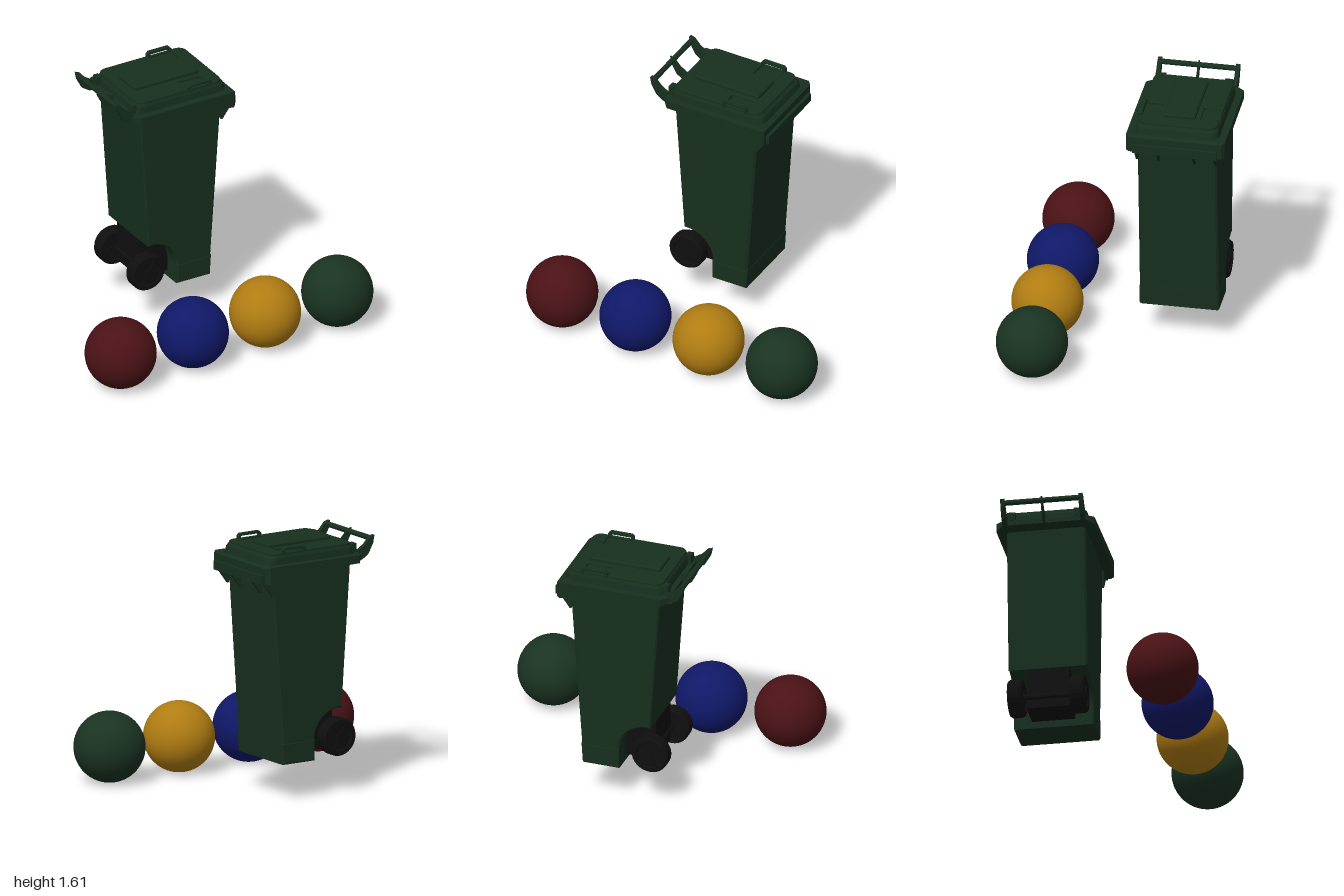
import * as THREE from 'three';

const mat = (color, flat = false) =>
  new THREE.MeshStandardMaterial({ color, flatShading: flat, side: THREE.DoubleSide });
const green = mat(0x172f1f, true);
const black = mat(0x0f0f0f, true);
const ZC = -0.367; // middle of the bin in z

function add(parent, name, geometry, material, x = 0, y = 0, z = 0) {
  const m = new THREE.Mesh(geometry, material);
  m.name = name;
  m.position.set(x, y, z);
  parent.add(m);
  return m;
}

// Outline in x/y, extruded along z and centred on z = 0
function plate(shape, width, bevel = 0) {
  const g = new THREE.ExtrudeGeometry(shape, {
    depth: width - 2 * bevel, bevelEnabled: bevel > 0, bevelSize: bevel, bevelOffset: -bevel,
    bevelThickness: bevel, bevelSegments: 1, curveSegments: 20,
  });
  return g.translate(0, 0, -(width - 2 * bevel) / 2);
}
const outline = (pts) => new THREE.Shape(pts.map(([x, y]) => new THREE.Vector2(x, y)));

// Skin through rings of equal point count, closed at both ends
function loft(rings) {
  const pos = [];
  const tri = (a, b, c) => pos.push(...a, ...b, ...c);
  const n = rings[0].length;
  for (let r = 0; r < rings.length - 1; r++) {
    for (let i = 0; i < n; i++) {
      const j = (i + 1) % n, p = rings[r], q = rings[r + 1];
      tri(p[i], p[j], q[j]);
      tri(p[i], q[j], q[i]);
    }
  }
  const last = rings[rings.length - 1];
  for (let i = 1; i < n - 1; i++) {
    tri(rings[0][0], rings[0][i + 1], rings[0][i]);
    tri(last[0], last[i], last[i + 1]);
  }
  const g = new THREE.BufferGeometry();
  g.setAttribute('position', new THREE.Float32BufferAttribute(pos, 3));
  g.computeVertexNormals();
  return g;
}

function roundedRect(Type, x0, x1, z0, z1, r) {
  const s = new Type();
  s.absarc(x1 - r, z1 - r, r, 0, Math.PI / 2);
  s.absarc(x0 + r, z1 - r, r, Math.PI / 2, Math.PI);
  s.absarc(x0 + r, z0 + r, r, Math.PI, Math.PI * 1.5);
  s.absarc(x1 - r, z0 + r, r, Math.PI * 1.5, Math.PI * 2);
  s.closePath();
  return s;
}

// Flat slab lying in x/z with its base at y = 0
function slab(shape, height, bevel) {
  const g = new THREE.ExtrudeGeometry(shape, {
    depth: height - bevel, bevelEnabled: true, bevelSize: bevel, bevelOffset: -bevel,
    bevelThickness: bevel, bevelSegments: 1, curveSegments: 6,
  });
  return g.rotateX(-Math.PI / 2);
}

function makeBody(bin) {
  const s = new THREE.Shape();
  s.moveTo(0.2, 0.235);
  s.lineTo(0.285, 1.46);
  s.lineTo(-0.302, 1.46);
  s.lineTo(-0.238, 0.545);
  s.absarc(-0.22, 0.36, 0.185, Math.PI * 0.53, 0, true);
  s.lineTo(-0.037, 0.235);
  add(bin, 'body', plate(s, 0.496, 0.012), green);

  // Slightly proud band around the foot
  add(bin, 'footBand', plate(outline([[-0.035, 0.235], [0.203, 0.235], [0.212, 0.37], [-0.035, 0.37]]), 0.5, 0.008), green);

  // Gussets below the front rim
  const gusset = outline([[0.26, 1.42], [0.275, 1.31], [0.287, 1.31], [0.345, 1.39], [0.345, 1.42]]);
  for (const z of [-0.245, -0.11, 0.115, 0.25]) add(bin, 'gusset', plate(gusset, 0.014), green, 0, 0, z);
}

function makeLid(bin) {
  const lid = new THREE.Group();
  lid.name = 'lid';
  bin.add(lid);

  // Skirt, deeper towards the front: x, half width, bottom, top
  const skirt = [
    [-0.365, 0.265, 1.475, 1.505], [-0.325, 0.308, 1.457, 1.508], [0.1, 0.31, 1.455, 1.51],
    [0.335, 0.31, 1.40, 1.51], [0.355, 0.29, 1.40, 1.50],
  ].map(([x, w, lo, hi]) => [[x, lo, -w], [x, hi, -w], [x, hi, w], [x, lo, w]].reverse());
  const skirtGeo = loft(skirt.map((r) => r.reverse()));
  flipIfInside(skirtGeo);
  add(lid, 'skirt', skirtGeo, green);
  add(lid, 'frontLip', new THREE.BoxGeometry(0.03, 0.055, 0.53), green, 0.36, 1.428, 0);

  // Domed crown with sloping sides
  const ring = (y, i) => roundedRect(THREE.Shape, -0.335 + i * 0.6, 0.325 - i, -0.265 + i * 0.5, 0.265 - i * 0.5, 0.06)
    .getPoints(6).slice(0, -1).map((p) => [p.x, y, p.y]);
  const crown = loft([ring(1.5, 0), ring(1.55, 0.012), ring(1.567, 0.025)]);
  flipIfInside(crown);
  add(lid, 'crown', crown, green);

  // Upper plate with a hand recess on each side
  const top = roundedRect(THREE.Shape, -0.315, 0.295, -0.25, 0.25, 0.055);
  for (const s of [-1, 1]) {
    top.holes.push(roundedRect(THREE.Path, 0.045, 0.205, Math.min(s * 0.13, s * 0.235), Math.max(s * 0.13, s * 0.235), 0.012));
  }
  add(lid, 'upperPlate', slab(top, 0.016, 0.004), green, 0, 1.565, 0);
  add(lid, 'raisedPanel', slab(roundedRect(THREE.Shape, -0.25, 0.21, -0.1, 0.1, 0.012), 0.024, 0.008), green, 0, 1.58, 0);

  // Arched grips along the lid sides
  const grip = outline([[0.04, 1.565], [0.04, 1.595], [0.055, 1.61], [0.195, 1.61], [0.21, 1.595], [0.21, 1.565],
    [0.195, 1.565], [0.192, 1.595], [0.058, 1.595], [0.055, 1.565]]);
  for (const s of [-1, 1]) add(lid, 'lidGrip', plate(grip, 0.028), green, 0, 0, s * 0.245);
}

// Turn faces outward when the skin came out reversed
function flipIfInside(g) {
  const p = g.attributes.position, c = new THREE.Vector3();
  g.computeBoundingBox();
  g.boundingBox.getCenter(c);
  const [a, b, d] = [new THREE.Vector3(), new THREE.Vector3(), new THREE.Vector3()];
  let volume = 0;
  for (let i = 0; i < p.count; i += 3) {
    a.fromBufferAttribute(p, i).sub(c);
    b.fromBufferAttribute(p, i + 1).sub(c);
    d.fromBufferAttribute(p, i + 2).sub(c);
    volume += a.dot(b.cross(d));
  }
  if (volume >= 0) return;
  for (let i = 0; i < p.count; i += 3) {
    a.fromBufferAttribute(p, i);
    b.fromBufferAttribute(p, i + 1);
    p.setXYZ(i, b.x, b.y, b.z);
    p.setXYZ(i + 1, a.x, a.y, a.z);
  }
  g.computeVertexNormals();
}

function makeHandle(bin) {
  const arm = outline([[-0.47, 1.61], [-0.46, 1.56], [-0.425, 1.495], [-0.38, 1.465], [-0.31, 1.455],
    [-0.31, 1.505], [-0.355, 1.51], [-0.35, 1.525], [-0.4, 1.555], [-0.44, 1.6]]);
  for (const s of [-1, 1]) {
    add(bin, 'handleArm', plate(arm, 0.026), green, 0, 0, s * 0.245);
    add(bin, 'hinge', new THREE.BoxGeometry(0.035, 0.055, 0.05), green, -0.335, 1.54, s * 0.21);
  }
  add(bin, 'handleStrut', plate(arm, 0.01), green);
  add(bin, 'handleBar', new THREE.CylinderGeometry(0.017, 0.017, 0.49, 12).rotateX(Math.PI / 2), green, -0.452, 1.588, 0);
}

function makeWheels(bin) {
  // Arch housing between the wheels
  const s = new THREE.Shape();
  s.moveTo(-0.037, 0.28);
  s.lineTo(-0.037, 0.36);
  s.absarc(-0.22, 0.36, 0.183, 0, Math.PI * 0.53);
  s.lineTo(-0.238, 0.28);
  add(bin, 'axleHousing', plate(s, 0.27), black);
  add(bin, 'axle', new THREE.CylinderGeometry(0.02, 0.02, 0.46, 16).rotateX(Math.PI / 2), black, -0.23, 0.355, 0);

  const profile = [[0.02, -0.035], [0.08, -0.035], [0.085, -0.045], [0.11, -0.045], [0.12, -0.03],
    [0.12, 0.03], [0.11, 0.045], [0.085, 0.045], [0.08, 0.035], [0.02, 0.035]];
  const tyre = new THREE.LatheGeometry(profile.map(([x, y]) => new THREE.Vector2(x, y)), 32).rotateX(Math.PI / 2);
  for (const side of [-1, 1]) {
    const wheel = new THREE.Group();
    wheel.name = 'wheel';
    wheel.position.set(-0.23, 0.355, side * 0.195);
    bin.add(wheel);
    add(wheel, 'tyre', tyre, black);
    add(wheel, 'hub', new THREE.CylinderGeometry(0.028, 0.028, 0.095, 16).rotateX(Math.PI / 2), black);
    for (let i = 0; i < 6; i++) {
      const spoke = new THREE.BoxGeometry(0.06, 0.012, 0.084).translate(0.055, 0, 0).rotateZ((i * Math.PI) / 3);
      add(wheel, 'spoke', spoke, black);
    }
  }
}

export function createModel() {
  const model = new THREE.Group();
  const bin = new THREE.Group();
  bin.name = 'wheeledBin';
  bin.position.z = ZC;
  model.add(bin);
  makeBody(bin);
  makeLid(bin);
  makeHandle(bin);
  makeWheels(bin);

  // Row of coloured balls in front
  const colors = { redBall: 0x4a1216, blueBall: 0x101868, yellowBall: 0xb07c12, greenBall: 0x1a3322 };
  Object.entries(colors).forEach(([name, color], i) => {
    add(model, name, new THREE.SphereGeometry(0.223, 48, 32), mat(color), -0.777 + i * 0.518, 0.226, 0.45);
  });
  return model;
}
